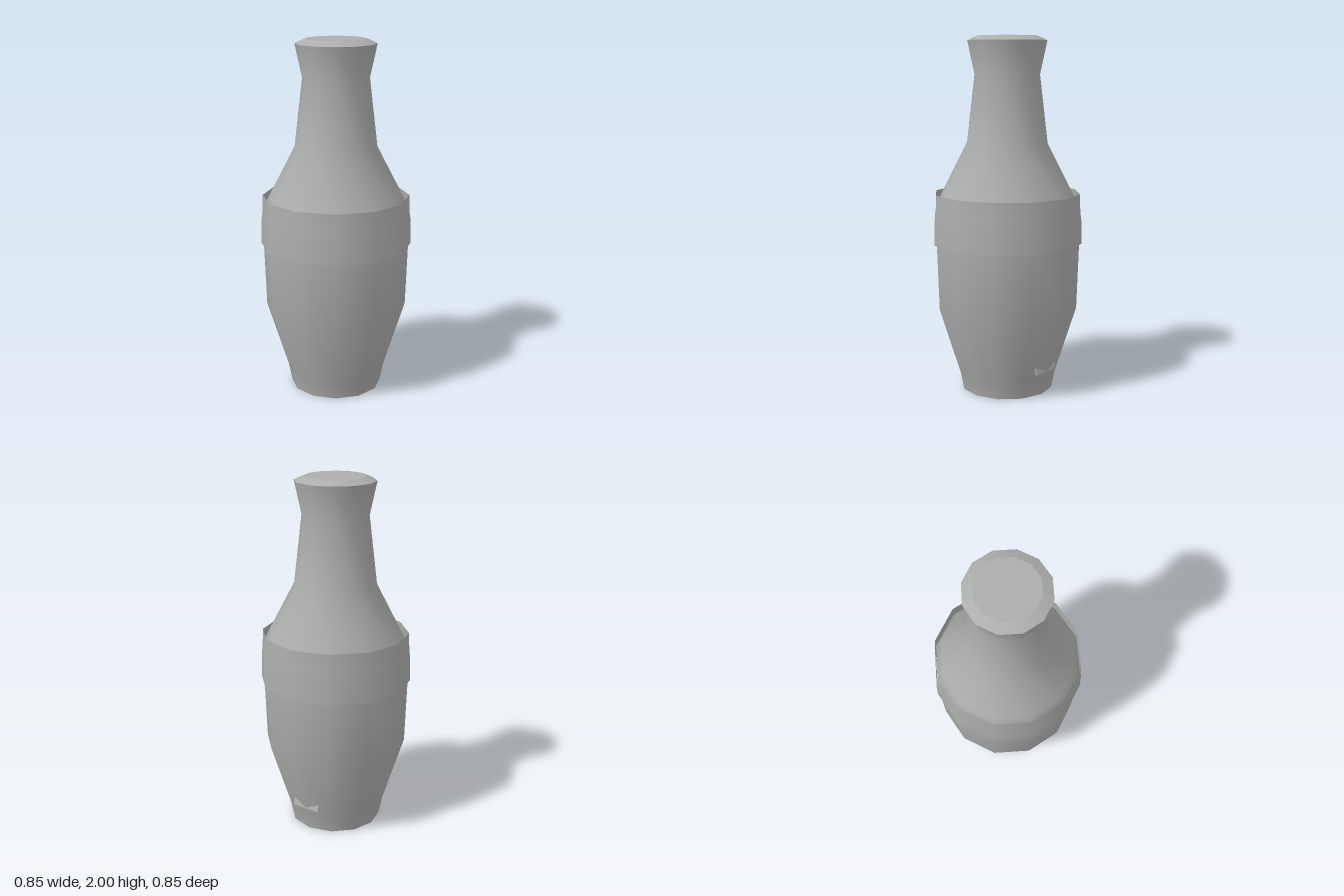
import * as THREE from 'three';

const SIDES = 12;

export function createModel() {
  const group = new THREE.Group();
  const grey = new THREE.MeshStandardMaterial({ color: 0xacaeac, side: THREE.DoubleSide });
  grey.name = 'plain grey';

  // Turned part from [radius, height] pairs, bottom to top
  const turned = (name, profile) => {
    const points = profile.map(([r, y]) => new THREE.Vector2(r, y));
    const mesh = new THREE.Mesh(new THREE.LatheGeometry(points, SIDES), grey);
    mesh.name = name;
    group.add(mesh);
  };

  turned('base', [[0, 0], [0.26, 0]]);
  turned('body', [
    [0.26, 0], [0.28, 0.1], [0.4, 0.48], [0.413, 0.87], [0.412, 1.05],
    [0.375, 1.13], [0.23, 1.41], [0.185, 1.79], [0.225, 1.975],
  ]);
  turned('rimBevel', [[0.225, 1.975], [0.17, 2]]);
  turned('topCap', [[0.17, 2], [0, 2]]);

  // Loose sleeve around the belly, standing clear of the shoulder
  turned('band', [[0.426, 0.85], [0.423, 0.985], [0.417, 1.03], [0.413, 1.13]]);

  // Small plate let into the back near the base; only its ends show
  const plate = new THREE.Mesh(new THREE.BoxGeometry(0.17, 0.045, 0.009), grey);
  plate.name = 'backPlate';
  plate.position.set(0, 0.16, -0.284);
  plate.rotation.x = 0.28;
  group.add(plate);

  return group;
}
